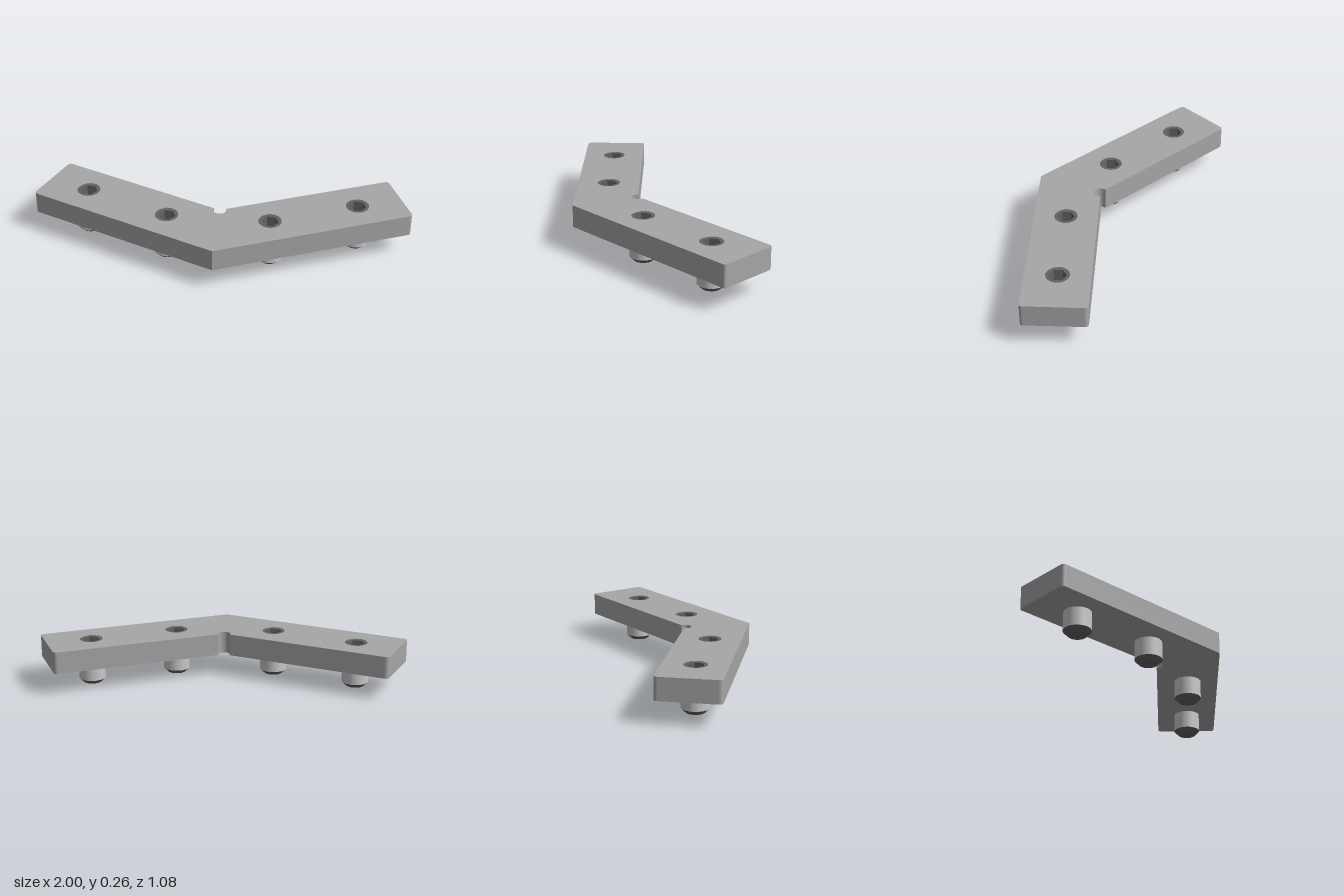
import * as THREE from 'three';

const plateMat = new THREE.MeshStandardMaterial({ color: 0xa6a6a6 });
plateMat.name = 'plate grey';
const shaftMat = new THREE.MeshStandardMaterial({ color: 0xc8c8c8 });
shaftMat.name = 'light steel';
const screwMat = new THREE.MeshStandardMaterial({ color: 0x626262 });
screwMat.name = 'dark steel';

const PLATE_BOTTOM = 0.133, PLATE_TOP = 0.263;
const HOLE_R = 0.066, SHAFT_R = 0.078, TIP_R = 0.053, TIP_H = 0.025, HEX_R = 0.05;
const SCREWS = [[-0.70, -0.236], [-0.33, 0.135], [0.21, 0.36], [0.735, 0.36]];

function add(group, name, geometry, material, y = 0) {
  const mesh = new THREE.Mesh(geometry, material);
  mesh.name = name;
  mesh.position.y = y;
  group.add(mesh);
}

// Extrude a plan drawn as (x, -z) upwards from y = 0
function extrudeUp(shape, depth) {
  return new THREE.ExtrudeGeometry(shape, { depth, bevelEnabled: false, curveSegments: 24 })
    .rotateX(-Math.PI / 2);
}

// Continue the outline round a softened corner
function roundCorner(shape, prev, corner, next, r) {
  const c = new THREE.Vector2(...corner);
  const toward = (p) => new THREE.Vector2(...p).sub(c).setLength(r).add(c);
  const a = toward(prev), b = toward(next);
  shape.lineTo(a.x, a.y);
  shape.quadraticCurveTo(c.x, c.y, b.x, b.y);
}

// Bent plate with a relief notch in the inner corner and four holes
function plateGeometry() {
  const elbow = [-0.18, -0.54], frontEnd = [1, -0.54], backEnd = [1, -0.178];
  const notch = [-0.03, -0.178], armInner = [-0.754, 0.546], armOuter = [-1.01, 0.29];
  const s = new THREE.Shape();
  s.moveTo(...elbow);
  roundCorner(s, elbow, frontEnd, backEnd, 0.02);
  roundCorner(s, frontEnd, backEnd, notch, 0.025);
  s.absarc(notch[0], notch[1], 0.037, 0, Math.PI * 0.75, true);
  roundCorner(s, notch, armInner, armOuter, 0.025);
  roundCorner(s, armInner, armOuter, elbow, 0.025);
  s.closePath();
  for (const [x, z] of SCREWS) {
    s.holes.push(new THREE.Path().absarc(x, -z, HOLE_R, 0, Math.PI * 2, true));
  }
  return extrudeUp(s, PLATE_TOP - PLATE_BOTTOM);
}

// Set screw: tapered tip, shaft below the plate, hex socket in the hole
function makeScrew() {
  const g = new THREE.Group();
  g.name = 'setScrew';
  const shaftH = PLATE_BOTTOM - TIP_H + 0.001;
  add(g, 'screwTip', new THREE.CylinderGeometry(SHAFT_R, TIP_R, TIP_H, 40), screwMat, TIP_H / 2);
  add(g, 'screwShaft', new THREE.CylinderGeometry(SHAFT_R, SHAFT_R, shaftH, 40), shaftMat, TIP_H + shaftH / 2);

  const ring = new THREE.Shape().absarc(0, 0, HOLE_R, 0, Math.PI * 2, false);
  const hex = [];
  for (let i = 0; i < 6; i++) {
    const a = Math.PI / 6 - i * Math.PI / 3;
    hex.push(new THREE.Vector2(HEX_R * Math.cos(a), HEX_R * Math.sin(a)));
  }
  ring.holes.push(new THREE.Path(hex));
  const depth = 0.07, top = PLATE_TOP - 0.003;
  add(g, 'screwHead', extrudeUp(ring, depth), screwMat, top - depth);

  // Faceted conical bottom of the socket
  const cone = new THREE.LatheGeometry(
    [new THREE.Vector2(HEX_R, 0), new THREE.Vector2(0, -0.025)], 6).toNonIndexed();
  cone.computeVertexNormals();
  add(g, 'socketBottom', cone, screwMat, top - depth);
  return g;
}

export function createModel() {
  const model = new THREE.Group();
  model.name = 'angledJoiner';
  add(model, 'plate', plateGeometry(), plateMat, PLATE_BOTTOM);
  for (const [x, z] of SCREWS) {
    const screw = makeScrew();
    screw.position.set(x, 0, z);
    model.add(screw);
  }
  return model;
}
